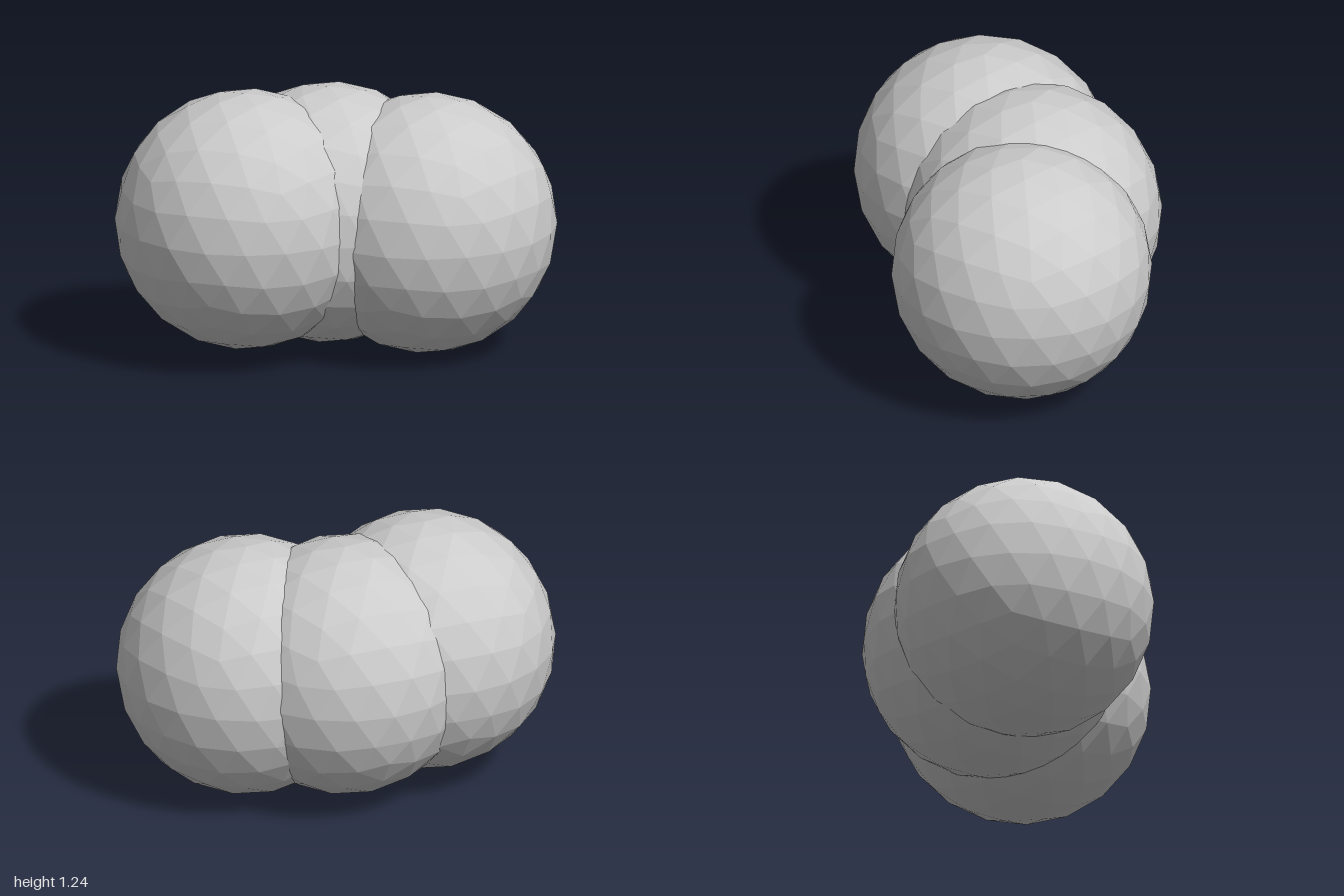
import * as THREE from 'three';

const RADIUS = 0.598;

// Faceted ball with one icosahedron corner at the top and a slight turn about y
function ballGeometry() {
  const g = new THREE.IcosahedronGeometry(RADIUS, 3);
  g.rotateX(-Math.atan2((1 + Math.sqrt(5)) / 2, 1));
  g.rotateY(THREE.MathUtils.degToRad(-3.7));
  return g;
}

export function createModel() {
  const group = new THREE.Group();
  group.name = 'ballCluster';
  const material = new THREE.MeshStandardMaterial({ color: 0xcccccc, flatShading: true });
  const geometry = ballGeometry();

  // Three equal, overlapping balls
  const balls = [
    ['rightBall', -0.403, 0.645, -0.09],
    ['middleBall', 0.02, 0.623, -0.122],
    ['leftBall', 0.403, 0.598, 0.122],
  ];
  for (const [name, x, y, z] of balls) {
    const ball = new THREE.Mesh(geometry, material);
    ball.name = name;
    ball.position.set(x, y, z);
    group.add(ball);
  }
  return group;
}
